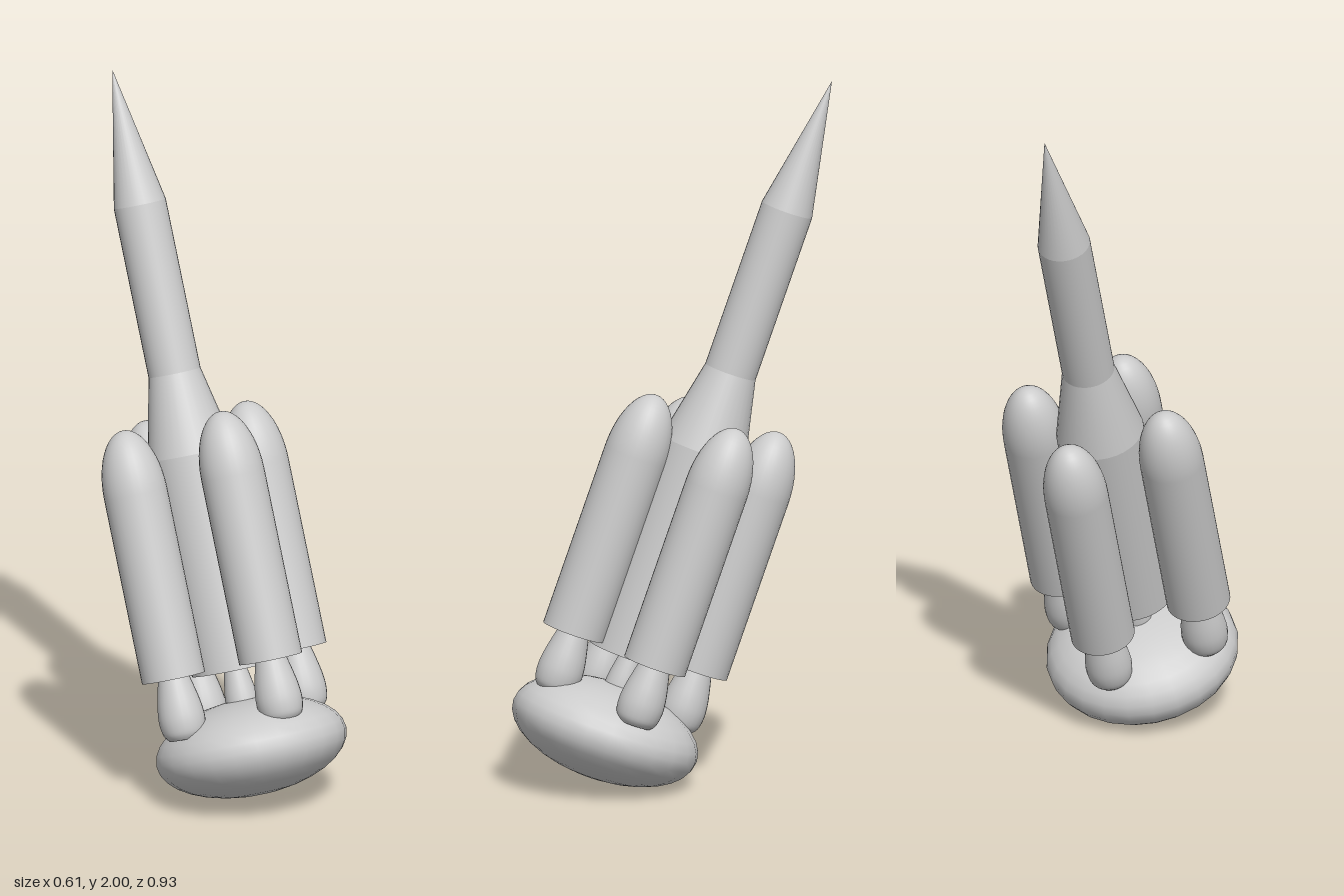
import * as THREE from 'three';

const grey = new THREE.MeshStandardMaterial({ color: 0xcccccc });

function add(parent, name, geometry, x = 0, y = 0, z = 0) {
  const mesh = new THREE.Mesh(geometry, grey);
  mesh.name = name;
  mesh.position.set(x, y, z);
  parent.add(mesh);
  return mesh;
}

// Tapered cylinder standing between two heights
function stage(parent, name, rBottom, rTop, y0, y1, x = 0, z = 0) {
  const geometry = new THREE.CylinderGeometry(rTop, rBottom, y1 - y0, 32);
  return add(parent, name, geometry, x, (y0 + y1) / 2, z);
}

// Egg-shaped engine bell, hanging down from y = 0
function engineGeometry() {
  const curve = new THREE.SplineCurve([
    [0.046, -0.178], [0.06, -0.16], [0.066, -0.125], [0.063, -0.085],
    [0.054, -0.04], [0.042, 0.01],
  ].map(([r, y]) => new THREE.Vector2(r, y)));
  return new THREE.LatheGeometry([new THREE.Vector2(0, -0.18), ...curve.getPoints(20)], 24);
}

export function createModel() {
  const model = new THREE.Group();
  model.name = 'rocket';

  // Everything is built upright, then leans back by 20 degrees
  const rocket = new THREE.Group();
  rocket.name = 'tiltedRocket';
  rocket.rotation.x = -THREE.MathUtils.degToRad(20);
  rocket.position.z = 0.265;
  model.add(rocket);

  // Central stack
  stage(rocket, 'coreBody', 0.125, 0.125, 0.397, 1.02);
  stage(rocket, 'coreShoulder', 0.125, 0.075, 1.02, 1.252);
  stage(rocket, 'upperStage', 0.075, 0.075, 1.252, 1.74);
  add(rocket, 'noseCone', new THREE.ConeGeometry(0.075, 0.388, 32), 0, 1.934, 0);
  add(rocket, 'coreEngine', engineGeometry(), 0, 0.4, 0).scale.set(0.72, 0.9, 0.72);

  // Four strap-on boosters, each with a domed top and an engine
  const places = { left: [0.212, 0], right: [-0.212, 0], front: [0, 0.187], back: [0, -0.199] };
  for (const [side, [x, z]] of Object.entries(places)) {
    const booster = new THREE.Group();
    booster.name = side + 'Booster';
    booster.position.set(x, 0, z);
    rocket.add(booster);
    stage(booster, 'boosterBody', 0.091, 0.091, 0.412, 0.945);
    const dome = new THREE.SphereGeometry(0.091, 32, 12, 0, Math.PI * 2, 0, Math.PI / 2);
    add(booster, 'boosterDome', dome, 0, 0.945, 0).scale.y = 2;
    add(booster, 'boosterEngine', engineGeometry(), 0, 0.414, 0);
  }

  // Flattened exhaust cloud under the engines
  add(rocket, 'exhaustCloud', new THREE.SphereGeometry(1, 24, 16), 0, 0.17, 0)
    .scale.set(0.275, 0.138, 0.275);

  return model;
}
